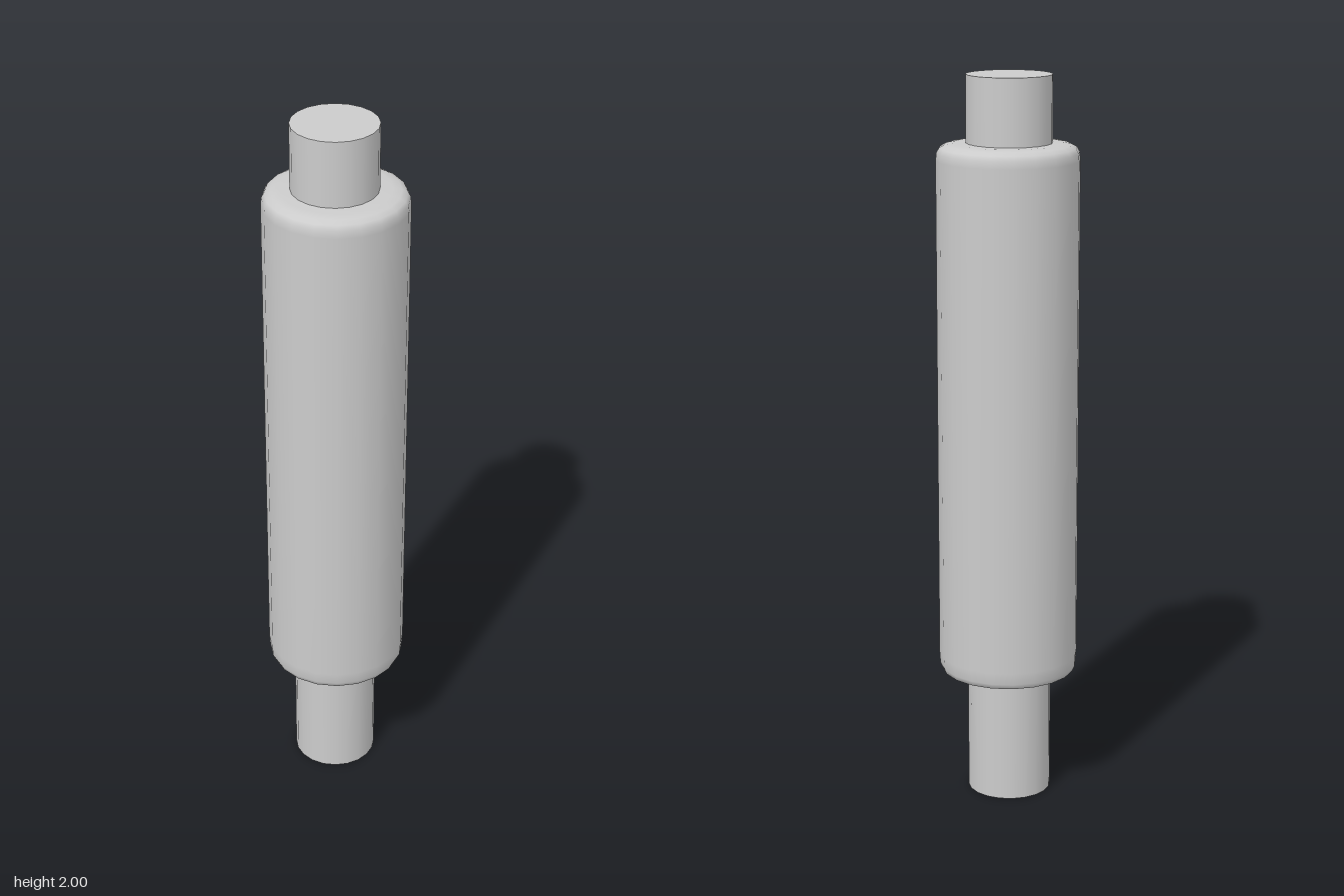
import * as THREE from 'three';

export function createModel() {
  const model = new THREE.Group();
  const material = new THREE.MeshStandardMaterial({ color: 0xcccccc });
  const sides = 20;
  const rodRadius = 0.115;

  // Straight core rod running the full height
  const rod = new THREE.Mesh(new THREE.CylinderGeometry(rodRadius, rodRadius, 2, sides), material);
  rod.name = 'rod';
  rod.position.set(-0.004, 1, 0);
  model.add(rod);

  // Thick sleeve with softly rounded rims, closed onto the rod
  const profile = [
    [0.1, 0.35], [0.172, 0.35], [0.184, 0.354], [0.19, 0.368],
    [0.192, 0.4], [0.192, 1.775], [0.19, 1.795], [0.183, 1.808],
    [0.168, 1.816], [0.145, 1.82], [0.1, 1.821],
  ].map(([r, y]) => new THREE.Vector2(r, y));
  const sleeve = new THREE.Mesh(new THREE.LatheGeometry(profile, sides), material);
  sleeve.name = 'sleeve';
  sleeve.position.set(-0.001, 0, -0.001);
  model.add(sleeve);

  return model;
}
